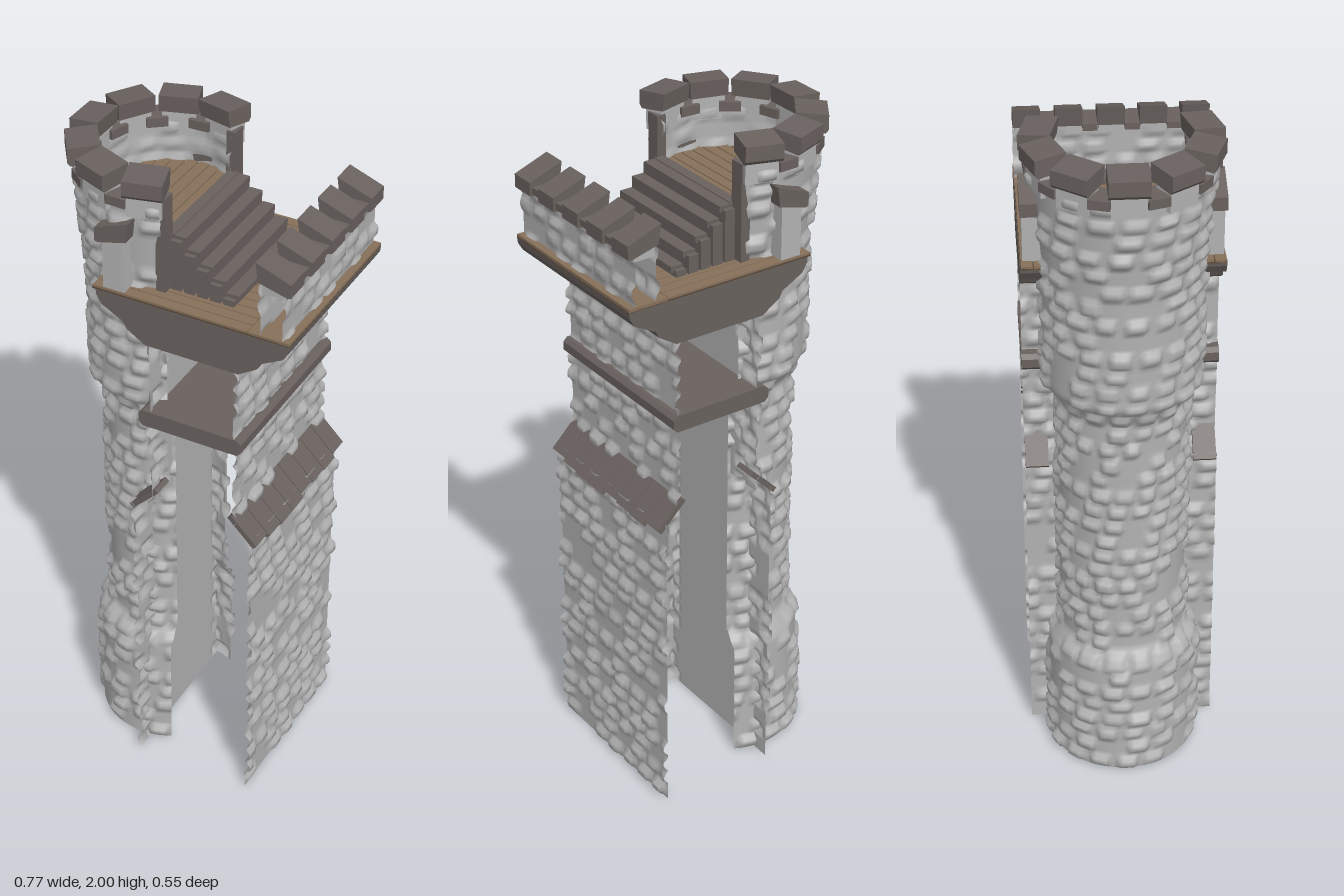
import * as THREE from 'three';

const mat = (name, color, side = THREE.FrontSide) => {
  const m = new THREE.MeshStandardMaterial({ color, side });
  m.name = name;
  return m;
};

const hash = (a, b) => {
  const s = Math.sin(a * 127.1 + b * 311.7) * 43758.5453;
  return s - Math.floor(s);
};

// Height of rough fieldstones laid in irregular courses
function relief(u, v) {
  const h = 0.052, w = 0.078;
  const r = Math.floor(v / h);
  const su = u / w + hash(r, 3) * 5;
  const c = Math.floor(su);
  const k = hash(r, c);
  if (k < 0.2) return 0;
  const sx = Math.abs((su - c) * 2 - 1 + (hash(c, r + 9) - 0.5) * 0.2) / (0.7 + 0.25 * hash(c + 5, r));
  const sy = Math.abs((v / h - r) * 2 - 1) / (0.68 + 0.26 * hash(c, r + 2));
  const t = THREE.MathUtils.clamp((1 - Math.max(sx, sy)) * 2.6, 0, 1);
  return t * t * (3 - 2 * t) * (0.009 + 0.009 * k);
}

// Grid surface from fn(u, v) -> [x, y, z], u running right and v up as seen from outside
function surface(nu, nv, fn) {
  const pos = [], idx = [];
  for (let j = 0; j <= nv; j++)
    for (let i = 0; i <= nu; i++) pos.push(...fn(i / nu, j / nv));
  for (let j = 0; j < nv; j++)
    for (let i = 0; i < nu; i++) {
      const a = j * (nu + 1) + i, d = a + nu + 1;
      idx.push(a, a + 1, d + 1, a, d + 1, d);
    }
  const g = new THREE.BufferGeometry();
  g.setAttribute('position', new THREE.Float32BufferAttribute(pos, 3));
  g.setIndex(idx);
  g.computeVertexNormals();
  return g;
}

// Outline in x, y extruded along z and centred on z = 0
function prism(points, depth) {
  const g = new THREE.ExtrudeGeometry(new THREE.Shape(points.map(p => new THREE.Vector2(...p))),
    { depth, bevelEnabled: false });
  return g.translate(0, 0, -depth / 2);
}

export function createModel() {
  const root = new THREE.Group();
  root.name = 'castleTower';
  const stone = mat('stone', 0xb2b2b2, THREE.DoubleSide);
  const slate = mat('slate', 0x69615e);
  const wood = mat('wood', 0x86705a);
  const darkWood = mat('darkWood', 0x57483a);

  const add = (name, geo, m, parent = root) => {
    const mesh = new THREE.Mesh(geo, m);
    mesh.name = name;
    parent.add(mesh);
    return mesh;
  };
  // Box given by its minimum and maximum on each axis
  const box = (name, m, x0, x1, y0, y1, z0, z1, parent = root) => {
    const b = add(name, new THREE.BoxGeometry(x1 - x0, y1 - y0, z1 - z0), m, parent);
    b.position.set((x0 + x1) / 2, (y0 + y1) / 2, (z0 + z1) / 2);
    return b;
  };

  // Round tower, cut open along its inner side
  const CX = -0.12, CUT = 0.1, HALF = 0.273;
  const profile = [[0, 0.217], [0.37, 0.215], [0.385, 0.205], [0.43, 0.18], [1.21, 0.18],
    [1.25, 0.205], [1.27, 0.216], [1.6, 0.218], [1.92, 0.243]];
  const radius = y => {
    const i = Math.max(1, profile.findIndex(p => p[0] >= y));
    const [a, b] = [profile[i - 1], profile[i]];
    return a[1] + (b[1] - a[1]) * (y - a[0]) / (b[0] - a[0]);
  };
  const ring = (r, a, y) => [CX - r * Math.cos(a), y, r * Math.sin(a)];
  add('towerShell', surface(88, 170, (u, v) => {
    const y = Math.min(v * 1.92, 1.9199), r = radius(y);
    const a = (u * 2 - 1) * Math.acos(-CUT / r);
    return ring(r + relief(a * 0.21 + 3, y), a, y);
  }), stone);
  add('towerInnerWall', surface(40, 14, (u, v) => {
    const r = 0.2, a = (1 - u * 2) * Math.acos(-CUT / r), y = 1.76 + v * 0.16;
    return ring(r - relief(a * 0.2 + 8, y) * 0.6, a, y);
  }), stone);
  add('towerWallTop', surface(40, 1, (u, v) => {
    const r = 0.245 - v * 0.047;
    return ring(r, (u * 2 - 1) * Math.acos(-CUT / r), 1.92);
  }), stone);

  // Tower battlements: seven merlons with sloping caps and low sills between
  const crownCap = prism([[-0.045, 0.06], [-0.04, 0.01], [0.035, 0], [0.043, 0.01], [0.043, 0.052]], 0.108);
  for (let i = -3; i <= 3; i++) {
    const a = i * 35 * Math.PI / 180;
    const merlon = new THREE.Group();
    merlon.name = 'towerMerlon';
    merlon.position.set(CX, 0, 0);
    merlon.rotation.y = a + Math.PI;
    root.add(merlon);
    box('merlonStone', stone, 0.195, 0.25, 1.88, 1.96, -0.047, 0.047, merlon);
    const cap = add('merlonCap', crownCap, slate, merlon);
    cap.position.set(0.224, 1.94, 0);
    cap.rotation.x = i === 0 ? 0 : (hash(i, 4) - 0.5) * 0.08;
    if (i < 3) {
      const sill = new THREE.Group();
      sill.name = 'towerSill';
      sill.position.set(CX, 0, 0);
      sill.rotation.y = a + Math.PI + 17.5 * Math.PI / 180;
      root.add(sill);
      box('sillCap', slate, 0.185, 0.26, 1.905, 1.932, -0.03, 0.03, sill);
    }
  }

  // Posts closing the cut ends of the tower wall
  for (const s of [-1, 1])
    box('towerEndPost', slate, -0.036, -0.008, 1.65, 1.935, s * 0.195 - 0.022, s * 0.195 + 0.022);

  // Planked tower floor
  const floorHalf = x => Math.sqrt(Math.max(0.0004, 0.2 ** 2 - (x - CX) ** 2));
  for (let i = 0; i < 9; i++) {
    const x = -0.305 + i * 0.0345, h = floorHalf(x + 0.017);
    box('floorPlank', wood, x, x + 0.031, 1.775, 1.8, -h, h);
    box('floorJoint', darkWood, x + 0.031, x + 0.0345, 1.775, 1.792, -h, h);
  }

  // Side walls: lower and upper stone sheets, right one complete, left one smooth inside the tower
  const wall = (name, x, y0, y1, s, smoothMiddle) =>
    add(name, surface(46, Math.round((y1 - y0) / 0.0115), (u, v) => {
      const z = s * HALF * (1 - 2 * u), y = y0 + v * (y1 - y0);
      const bump = smoothMiddle && Math.abs(z) < 0.18 ? 0 : relief(z + 2 + s, y);
      return [x + s * bump, y, z];
    }), stone);
  wall('rightLowerWall', 0.275, 0, 0.96, 1, false);
  wall('rightUpperWall', 0.225, 0.99, 1.52, 1, false);
  wall('leftLowerWall', -0.08, 0, 0.96, -1, true);
  wall('leftUpperWall', -0.027, 0.96, 1.52, -1, true);

  // Sloping tiles over the wall offsets
  for (let i = 0; i < 8; i++) {
    const w = HALF * 2 / 8, z = -HALF + (i + 0.5) * w, j = (hash(i, 7) - 0.5) * 0.022;
    for (const s of [-1, 1]) {
      if (s < 0 && i > 0 && i < 7) continue;
      const tile = add('offsetTile', new THREE.BoxGeometry(0.12 + j, 0.016, w - 0.003), slate);
      tile.position.set(0.1 + s * (0.157 + j / 4), 0.977 - j / 4, z);
      tile.rotation.z = -s * Math.PI / 4;
    }
  }

  // String course slab
  add('stringCourse', prism([[-0.052, 1.24], [0.238, 1.24], [0.25, 1.252], [0.25, 1.278], [0.238, 1.29],
    [-0.052, 1.29], [-0.064, 1.278], [-0.064, 1.252]], 0.55), slate);

  // Moulded platform, flaring outwards, mirrored about x = 0.1
  const half = [[0.14, 1.51], [0.195, 1.545], [0.205, 1.565], [0.27, 1.6], [0.285, 1.625], [0.287, 1.642]];
  add('platform', prism([...half.map(([x, y]) => [0.1 + x, y]),
    ...half.map(([x, y]) => [0.1 - x, y]).reverse()], 0.55), slate);

  // Deck boards
  box('deckBase', darkWood, -0.198, 0.387, 1.642, 1.646, -0.274, 0.274);
  const n = 16, pitch = 0.548 / n;
  for (let i = 0; i < n; i++) {
    const z = -0.274 + i * pitch;
    box('deckPlank', wood, -0.198, 0.263, 1.644, 1.652, z + 0.0015, z + pitch - 0.0015);
  }
  box('deckBorder', wood, 0.266, 0.387, 1.644, 1.653, -0.274, 0.274);

  // Stairs from the deck to the tower floor
  for (let i = 0; i < 5; i++) {
    const x1 = 0.19 - i * 0.039, x0 = x1 - 0.037, y = 1.68 + i * 0.033;
    box('stairTread', slate, x0, x1, y - 0.018, y, -0.178, 0.178);
    box('stairRiser', slate, x0 - 0.002, x1 - 0.008, 1.65, y - 0.018, -0.174, 0.174);
    for (const s of [-1, 1])
      box('stairStringer', slate, x0 - 0.002, x1 - 0.008, 1.65, y - 0.01, s * 0.183 - 0.009, s * 0.183 + 0.009);
  }
  box('stairLanding', slate, -0.03, 0.0, 1.65, 1.815, -0.178, 0.178);

  // Parapet: two stone faces, alternating merlons and sills; s mirrors it about x = 0.1
  for (const [name, x, s] of [['parapetOuterFace', 0.365, 1], ['parapetInnerFace', 0.302, -1]])
    add(name, surface(46, 14, (u, v) => {
      const z = s * HALF * (1 - 2 * u), y = 1.65 + v * 0.152;
      return [x + s * relief(z + 6, y) * 0.7, y, z];
    }), stone);
  const parapetCap = d => prism([[-0.052, 0.08], [-0.044, 0.022], [0.04, 0], [0.05, 0.003], [0.05, 0.042]], d);
  const MW = 0.076, GW = 0.0415;
  for (let i = 0; i < 5; i++) {
    const z = -HALF + MW / 2 + i * (MW + GW);
    for (const s of [-1, 1]) {
      const end = i === 0 || i === 4;
      if (s < 0 && !end) continue;
      const part = new THREE.Group();
      part.name = 'parapetMerlon';
      part.position.set(0.1 + s * 0.237, 0, z);
      part.rotation.y = s > 0 ? 0 : Math.PI;
      root.add(part);
      box('merlonBody', stone, -0.034, 0.03, s > 0 ? 1.78 : 1.65, 1.82, -MW / 2 + 0.005, MW / 2 - 0.005, part);
      add('parapetCap', parapetCap(MW), slate, part).position.set(0, 1.79, 0);
    }
    if (i < 4) {
      const z0 = z + MW / 2;
      box('parapetSill', slate, 0.288, 0.38, 1.798, 1.818, z0, z0 + GW);
    }
  }
  return root;
}
